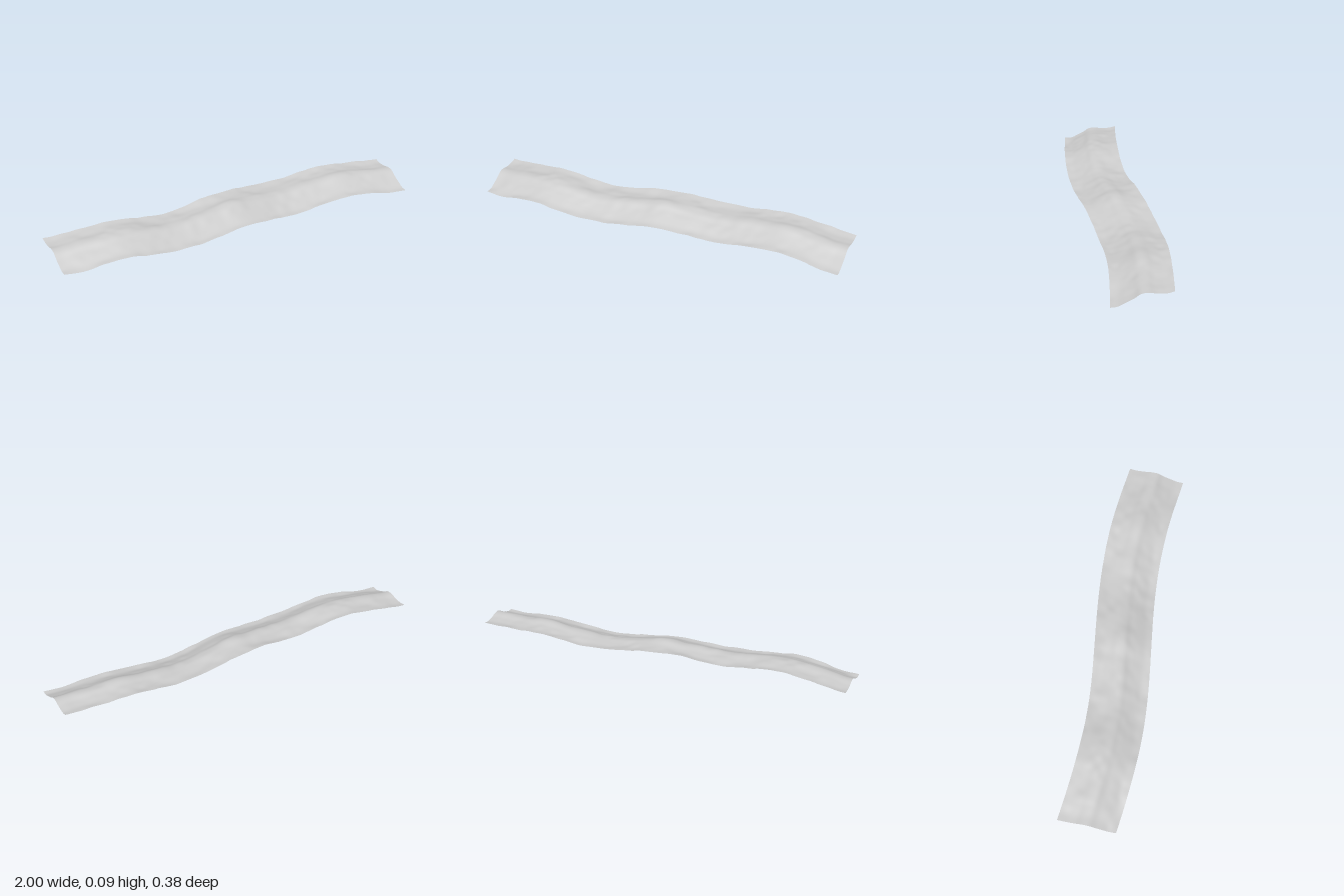
import * as THREE from 'three';

// Half width of the strip, and its height profile from back (-z) to front (+z)
const HALF = 0.15;
const PROFILE = [
  [-0.15, 0.077], [-0.11, 0.071], [-0.065, 0.072], [-0.025, 0.077], [0.01, 0.072],
  [0.035, 0.058], [0.085, 0.033], [0.115, 0.02], [0.15, 0.016],
].map(([w, y]) => new THREE.Vector3(w, y, 0));

// Seeded lattice noise, smooth between lattice points
function hash(i, j) {
  const s = Math.sin(i * 127.1 + j * 311.7 + 4.3) * 43758.5453;
  return (s - Math.floor(s)) * 2 - 1;
}
function noise(x, z) {
  const i = Math.floor(x), j = Math.floor(z);
  const u = THREE.MathUtils.smootherstep(x - i, 0, 1);
  const v = THREE.MathUtils.smootherstep(z - j, 0, 1);
  const { lerp } = THREE.MathUtils;
  return lerp(lerp(hash(i, j), hash(i + 1, j), u), lerp(hash(i, j + 1), hash(i + 1, j + 1), u), v);
}

export function createModel() {
  const group = new THREE.Group();
  const stone = new THREE.MeshStandardMaterial({ color: 0xcccccc, side: THREE.DoubleSide });
  stone.name = 'pale grey';

  // Height across the strip, sampled by distance from the centre line
  const rows = 28;
  const curve = new THREE.CatmullRomCurve3(PROFILE);
  const samples = curve.getPoints(200);
  const heightAt = (w) => {
    const k = samples.findIndex((p) => p.x >= w - 1e-6);
    return samples[k < 0 ? samples.length - 1 : k].y;
  };

  // Winding, gently rolling bank with small lumps
  const geometry = new THREE.PlaneGeometry(2, HALF * 2, 150, rows);
  geometry.rotateX(-Math.PI / 2);
  const pos = geometry.attributes.position;
  for (let n = 0; n < pos.count; n++) {
    const x = pos.getX(n), w = pos.getZ(n);
    const lumps = 0.0045 * noise(x * 9, w * 13) + 0.002 * noise(x * 22 + 7, w * 26 + 3);
    pos.setY(n, heightAt(w) + 0.0125 * Math.cos(3 * Math.PI * x) + lumps);
    pos.setZ(n, w - 0.04 * Math.sin(Math.PI * x));
  }
  geometry.computeBoundingBox();
  geometry.translate(0, -geometry.boundingBox.min.y, 0);
  geometry.computeVertexNormals();

  const bank = new THREE.Mesh(geometry, stone);
  bank.name = 'windingBank';
  group.add(bank);
  return group;
}
